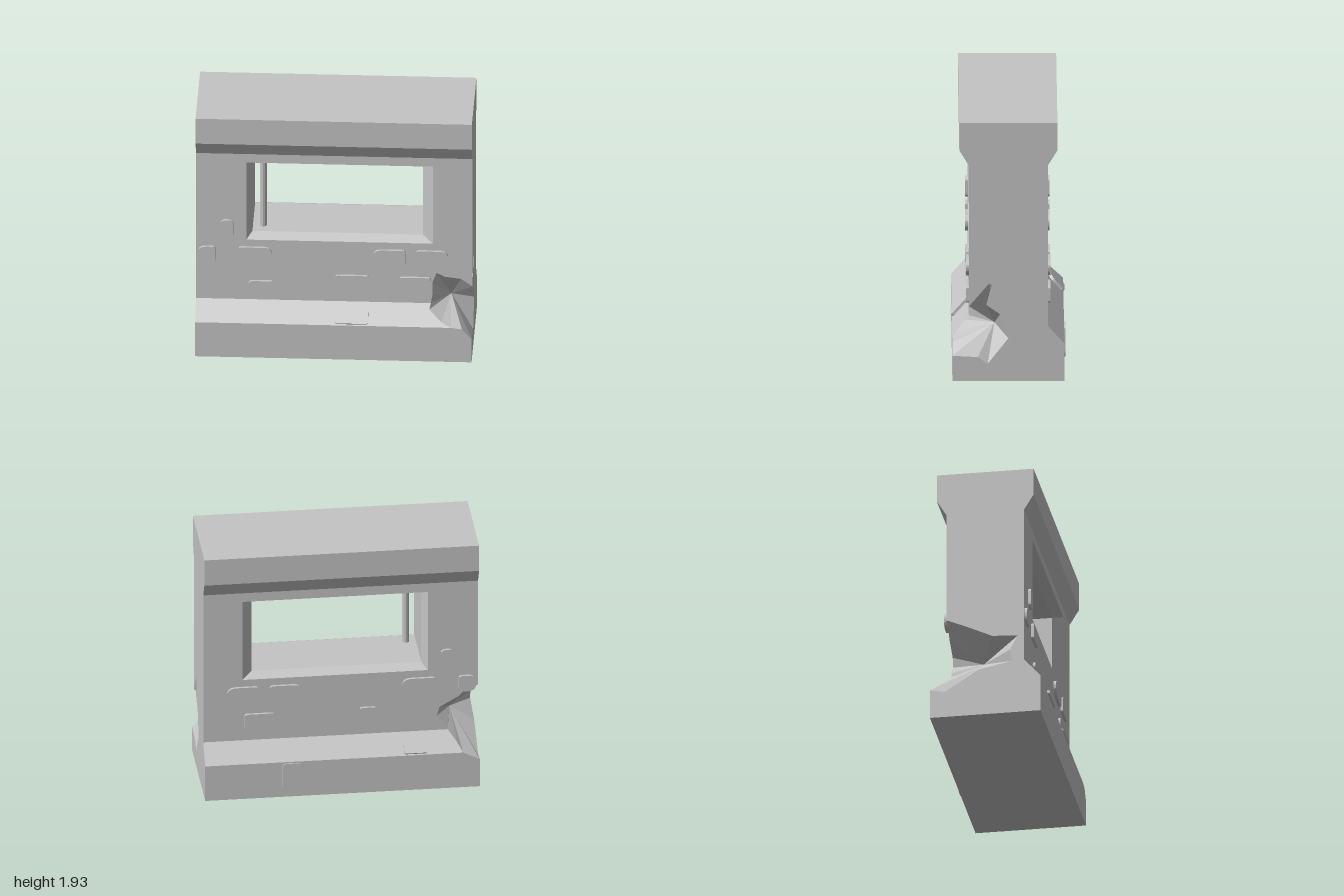
import * as THREE from 'three';

const stoneGrey = new THREE.MeshStandardMaterial({ color: 0xc4c4c4, flatShading: true, side: THREE.DoubleSide });
stoneGrey.name = 'stoneGrey';

// Wall section: height and half depth
const section = [[0, 0.405], [0.28, 0.405], [0.415, 0.285], [1.61, 0.285], [1.725, 0.355], [1.93, 0.355]];
const bandNames = ['plinth', 'plinthSlope', 'wallFace', 'corniceSlope', 'cornice'];

function depthAt(y) {
  for (let i = 1; i < section.length; i++) {
    const [y0, z0] = section[i - 1], [y1, z1] = section[i];
    if (y <= y1) return z0 + (z1 - z0) * (y - y0) / (y1 - y0);
  }
  return 0.355;
}

function add(parent, name, geometry) {
  const mesh = new THREE.Mesh(geometry, stoneGrey);
  mesh.name = name;
  parent.add(mesh);
  return mesh;
}

const toVectors = (points) => points.map(([u, v]) => new THREE.Vector2(u, v));

// Flat outline placed in space by a mapping rule
function patch(outline, place, flip = false, hole = null) {
  const shape = new THREE.Shape(toVectors(outline));
  if (hole) shape.holes.push(new THREE.Path(toVectors(hole)));
  const geometry = new THREE.ShapeGeometry(shape);
  const pos = geometry.attributes.position;
  for (let i = 0; i < pos.count; i++) pos.setXYZ(i, ...place(pos.getX(i), pos.getY(i)));
  if (flip) geometry.index.array.reverse();
  geometry.computeVertexNormals();
  return geometry;
}

function fromTriangles(points) {
  const geometry = new THREE.BufferGeometry().setFromPoints(points);
  geometry.computeVertexNormals();
  return geometry;
}

// Rectangle with one radius per corner: bottom left, bottom right, top right, top left
function stoneGeometry([x0, x1, y0, y1, [bl, br, tr, tl]]) {
  const s = new THREE.Shape();
  const w = x1 - x0, h = y1 - y0;
  const rx = (r) => Math.min(r * 1.3, w * 0.48), ry = (r) => Math.min(r, h * 0.7);
  s.moveTo(x0 + rx(bl), y0);
  s.lineTo(x1 - rx(br), y0);
  s.quadraticCurveTo(x1, y0, x1, y0 + Math.min(ry(br), h * 0.65));
  s.lineTo(x1, y1 - Math.min(ry(tr), h * 0.65));
  s.quadraticCurveTo(x1, y1, x1 - rx(tr), y1);
  s.lineTo(x0 + rx(tl), y1);
  s.quadraticCurveTo(x0, y1, x0, y1 - ry(tl));
  s.lineTo(x0, y0 + Math.min(ry(bl), h - ry(tl)));
  s.quadraticCurveTo(x0, y0, x0 + rx(bl), y0);
  return new THREE.ExtrudeGeometry(s, { depth: 0.02, bevelEnabled: false, curveSegments: 5 });
}

const rect = (x0, x1, y0, y1) => [[x0, y0], [x1, y0], [x1, y1], [x0, y1]];

// Jagged hollow: outline ring, uneven middle ring, deepest point
function biteGeometry(frontEdge, sideEdge, [cx, cy, cz]) {
  const centre = new THREE.Vector3(cx, cy, cz);
  const rim = [
    ...frontEdge.map(([x, y]) => new THREE.Vector3(x, y, depthAt(y))),
    ...sideEdge.map(([z, y]) => new THREE.Vector3(1, y, z)),
  ];
  const mid = rim.map((p, i) => p.clone().lerp(centre, [0.3, 0.62, 0.42][i % 3]));
  const tris = [];
  rim.forEach((p, i) => {
    const j = (i + 1) % rim.length;
    tris.push(rim[j], p, mid[i], rim[j], mid[i], mid[j], mid[j], mid[i], centre);
  });
  return fromTriangles(tris);
}

// One face of the wall together with the end on its right
function buildHalf(name, spec) {
  const half = new THREE.Group();
  half.name = name;
  const { frontEdge, sideEdge } = spec;

  bandNames.forEach((band, i) => {
    const y0 = section[i][0], y1 = section[i + 1][0];
    const right = frontEdge.filter(([, y]) => y >= y0 && y <= y1);
    if (!right.some(([, y]) => y === y0)) right.unshift([1, y0]);
    if (!right.some(([, y]) => y === y1)) right.push([1, y1]);
    const hole = band === 'wallFace' ? spec.window : null;
    add(half, band, patch([[-1, y0], ...right, [-1, y1]], (x, y) => [x, y, depthAt(y)], false, hole));
  });

  const low = frontEdge[0][1], high = frontEdge[frontEdge.length - 1][1];
  const end = [
    [0.405, 0], [0.405, low], ...[...sideEdge].reverse(), [0.285, high],
    ...section.slice(3).map(([y, z]) => [z, y]),
    ...[...section].reverse().map(([y, z]) => [-z, y]),
  ];
  add(half, 'wallEnd', patch(end, (z, y) => [1, y, z], true));
  add(half, 'brokenCorner', biteGeometry(frontEdge, sideEdge, spec.centre));

  spec.stones.forEach((s) => { add(half, 'wallStone', stoneGeometry(s)).position.z = 0.285; });
  spec.plinthStones.forEach((s) => { add(half, 'plinthStone', stoneGeometry(s)).position.z = 0.395; });
  const tilted = add(half, 'slopeStone', stoneGeometry(spec.slopeStone));
  tilted.position.set(0, 0.28, 0.405);
  tilted.rotation.x = -Math.atan2(0.12, 0.135);
  return half;
}

export function createModel() {
  const model = new THREE.Group();
  model.name = 'ruinedWallWithWindow';

  const outer = rect(-0.635, 0.715, 0.905, 1.54);
  const inner = rect(-0.595, 0.64, 0.94, 1.505);
  const r = 0.03;

  const front = buildHalf('frontHalf', {
    window: outer,
    frontEdge: [[1, 0.19], [0.93, 0.27], [0.85, 0.28], [0.78, 0.31], [0.69, 0.38], [0.7, 0.415],
      [0.71, 0.48], [0.71, 0.58], [0.74, 0.665], [0.8, 0.635], [0.92, 0.62], [1, 0.56]],
    sideEdge: [[0.25, 0.6], [0.14, 0.73], [0.12, 0.72], [0.16, 0.57], [0.06, 0.5], [0, 0.32], [0.15, 0.13], [0.22, 0.18]],
    centre: [0.84, 0.4, 0.1],
    stones: [
      [-0.82, -0.73, 0.92, 1.07, [r, r, r, r]],
      [-0.985, -0.86, 0.725, 0.85, [0.06, 0.02, 0.02, 0.05]],
      [-0.69, -0.45, 0.725, 0.85, [0.015, 0.08, 0.05, 0.02]],
      [-0.62, -0.445, 0.505, 0.575, [0.04, 0.01, 0.01, 0.03]],
      [0.01, 0.25, 0.6, 0.635, [0.015, 0.015, 0.015, 0.015]],
      [0.285, 0.515, 0.725, 0.85, [0.08, 0.02, 0.02, 0.045]],
      [0.595, 0.825, 0.725, 0.85, [0.02, 0.08, 0.05, 0.02]],
      [0.475, 0.7, 0.505, 0.63, [0.08, 0.02, 0.02, 0.02]],
    ],
    plinthStones: [],
    slopeStone: [0.01, 0.25, 0.01, 0.175, [0.015, 0.015, 0.015, 0.11]],
  });

  const back = buildHalf('backHalf', {
    window: rect(-0.715, 0.635, 0.905, 1.54),
    frontEdge: [[1, 0.22], [0.92, 0.26], [0.88, 0.28], [0.84, 0.34], [0.78, 0.415], [0.78, 0.45],
      [0.7, 0.53], [0.72, 0.6], [0.86, 0.68], [0.93, 0.75], [1, 0.77]],
    sideEdge: [[0.12, 0.7], [-0.05, 0.62], [-0.24, 0.61], [-0.18, 0.5], [-0.2, 0.41], [0.05, 0.36], [0.3, 0.2]],
    centre: [0.82, 0.48, 0.04],
    stones: [
      [0.73, 0.82, 0.92, 1.07, [r, r, r, r]],
      [0.86, 0.985, 0.725, 0.85, [0.02, 0.06, 0.05, 0.02]],
      [0.45, 0.69, 0.725, 0.85, [0.08, 0.015, 0.02, 0.05]],
      [0.14, 0.26, 0.6, 0.635, [0.015, 0.015, 0.015, 0.015]],
      [-0.515, -0.285, 0.725, 0.85, [0.02, 0.08, 0.045, 0.02]],
      [-0.825, -0.595, 0.725, 0.85, [0.08, 0.02, 0.02, 0.05]],
      [-0.7, -0.475, 0.505, 0.63, [0.02, 0.05, 0.03, 0.02]],
    ],
    plinthStones: [[-0.44, -0.28, 0.02, 0.27, [0.07, 0.05, 0.05, 0.03]]],
    slopeStone: [0.45, 0.62, 0.01, 0.16, [0.015, 0.015, 0.04, 0.06]],
  });
  back.rotation.y = Math.PI;
  model.add(front, back);

  // Top and underside
  add(model, 'wallTop', patch(rect(-1, 1, -0.355, 0.355), (x, z) => [x, 1.93, z], true));
  add(model, 'wallUnderside', patch(rect(-1, 1, -0.405, 0.405), (x, z) => [x, 0, z]));

  // Window lining, splayed at both faces
  const rings = [[outer, 0.285], [inner, 0.215], [inner, -0.215], [outer, -0.285]]
    .map(([loop, z]) => loop.map(([x, y]) => new THREE.Vector3(x, y, z)));
  const lining = [];
  for (let k = 0; k < 3; k++) {
    const a = rings[k], b = rings[k + 1];
    for (let i = 0; i < 4; i++) {
      const j = (i + 1) % 4;
      lining.push(a[i], a[j], b[j], a[i], b[j], b[i]);
    }
  }
  add(model, 'windowLining', fromTriangles(lining));

  // Upright bar in the window
  const bar = add(model, 'windowBar', new THREE.CylinderGeometry(0.026, 0.026, 0.575, 12));
  bar.position.set(-0.52, 1.2225, 0.12);
  return model;
}
